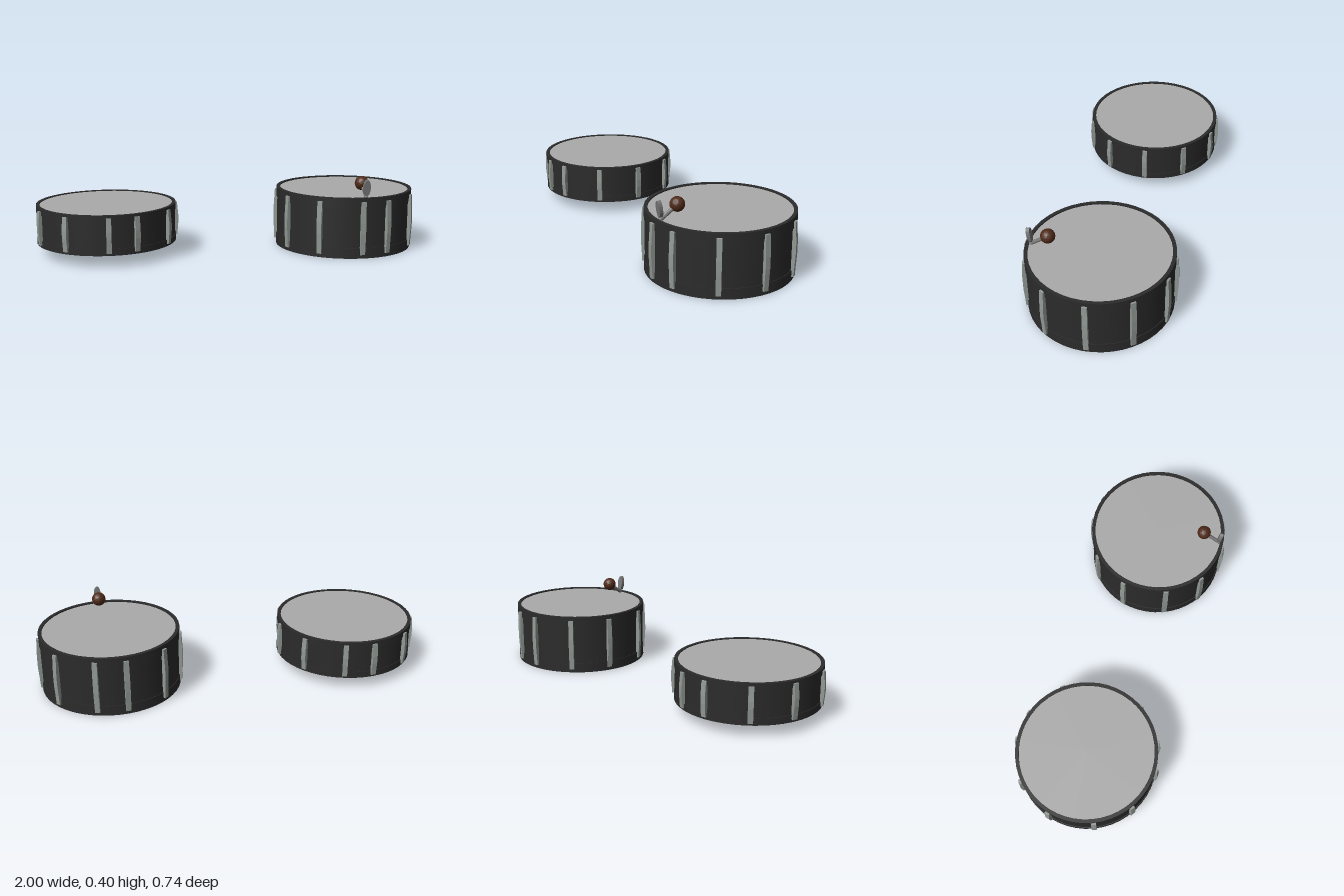
import * as THREE from 'three';
import { toCreasedNormals } from 'three/addons/utils/BufferGeometryUtils.js';

const mat = (color, flatShading = false) => new THREE.MeshStandardMaterial({ color, flatShading });
const black = mat(0x2b2b2b);
const skin = mat(0xaaaaaa);
const metal = mat(0x929a95, true);
const steel = mat(0x777777, true);
const brown = mat(0x4f2a18, true);

const R = 0.358, H = 0.31;
// bearing of each tension lug around the shell, in degrees from +x towards +z
const LUGS = [-3, 32, 66.5, 89, 124, 157, 194.5, 228, 263, 287, 322];

function add(parent, name, geometry, material) {
  const mesh = new THREE.Mesh(geometry, material);
  mesh.name = name;
  parent.add(mesh);
  return mesh;
}

// Bar with a slightly bowed outer face, extruded across its width
function lugGeometry() {
  const s = new THREE.Shape([
    [0.345, 0.02], [0.367, 0.02], [0.3695, 0.07], [0.373, 0.125],
    [0.373, 0.185], [0.3695, 0.24], [0.367, 0.29], [0.345, 0.29],
  ].map(([x, y]) => new THREE.Vector2(x, y)));
  const g = new THREE.ExtrudeGeometry(s, { depth: 0.025, bevelEnabled: false });
  return g.translate(0, 0, -0.0125);
}

function makeDrum(name) {
  const drum = new THREE.Group();
  drum.name = name;

  // Closed base, both hoops and the shell between them as one turned profile
  const profile = [
    [0, 0], [R, 0], [R, 0.052], [R - 0.004, 0.052], [R - 0.004, 0.256],
    [R, 0.256], [R, H], [R - 0.018, H], [R - 0.018, H - 0.012],
  ].map(([x, y]) => new THREE.Vector2(x, y));
  add(drum, 'shellAndHoops', toCreasedNormals(new THREE.LatheGeometry(profile, 48), 0.5), black);

  // Head set just below the top hoop
  const head = add(drum, 'drumHead', new THREE.CircleGeometry(R - 0.017, 48), skin);
  head.rotation.x = -Math.PI / 2;
  head.position.y = H - 0.006;

  const lug = lugGeometry();
  for (const deg of LUGS) {
    add(drum, 'tensionLug', lug, metal).rotation.y = -THREE.MathUtils.degToRad(deg);
  }
  return drum;
}

function makeBeater() {
  const beater = new THREE.Group();
  beater.name = 'beater';

  const ball = add(beater, 'beaterBall', new THREE.IcosahedronGeometry(0.036, 2), brown);
  ball.position.set(0, 0.367, 0.245);

  // Rod from the rim up to the ball
  const a = new THREE.Vector3(0, 0.304, 0.335), b = new THREE.Vector3(0, 0.358, 0.256);
  const dir = b.clone().sub(a);
  const rod = add(beater, 'beaterRod', new THREE.CylinderGeometry(0.01, 0.01, dir.length(), 8), steel);
  rod.position.copy(a).add(b).multiplyScalar(0.5);
  rod.quaternion.setFromUnitVectors(new THREE.Vector3(0, 1, 0), dir.normalize());

  // Oval thumb plate leaning outwards
  const plate = add(beater, 'thumbPlate', new THREE.CylinderGeometry(0.5, 0.5, 1, 16), steel);
  plate.geometry.rotateX(Math.PI / 2).scale(0.036, 0.083, 0.018);
  plate.position.set(0, 0.358, 0.335);
  plate.rotation.x = 0.13;
  return beater;
}

export function createModel() {
  const model = new THREE.Group();
  model.name = 'drumPair';

  const deep = makeDrum('deepDrum');
  deep.position.x = 0.625;
  model.add(deep);

  const shallow = makeDrum('shallowDrum');
  shallow.position.set(-0.637, 0.06, 0);
  shallow.scale.y = 0.64;
  model.add(shallow);

  const beater = makeBeater();
  beater.position.x = 0.652;
  model.add(beater);
  return model;
}
